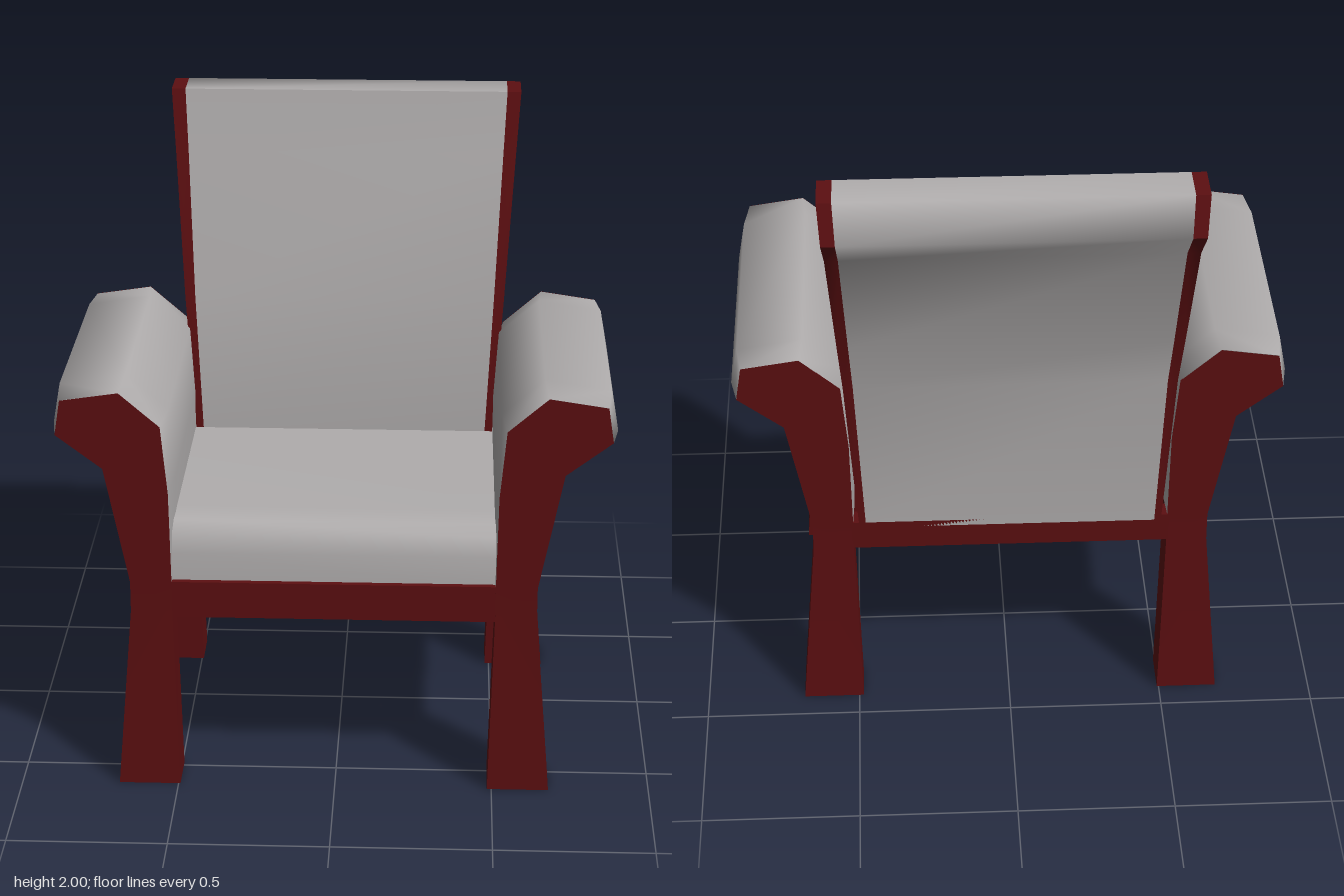
import * as THREE from 'three';
import { toCreasedNormals } from 'three/addons/utils/BufferGeometryUtils.js';

// Skin through matching cross-sections (arrays of [x, y, z]); always faces outward.
function loft(sections, { closed = true, caps = true, crease = 0.5 } = {}) {
  const n = sections[0].length, pts = sections.flat(), index = [];
  const span = closed ? n : n - 1;
  for (let s = 0; s < sections.length - 1; s++) {
    for (let i = 0; i < span; i++) {
      const a = s * n + i, b = s * n + (i + 1) % n;
      index.push(a, b, b + n, a, b + n, a + n);
    }
  }
  if (caps) {
    for (let i = 1; i < n - 1; i++) {
      const e = (sections.length - 1) * n;
      index.push(0, i + 1, i, e, e + i, e + i + 1);
    }
  }
  const v = pts.map(p => new THREE.Vector3(...p));
  const mid = v.reduce((m, p) => m.add(p), new THREE.Vector3()).divideScalar(v.length);
  let volume = 0;
  for (let i = 0; i < index.length; i += 3) {
    const [a, b, c] = [0, 1, 2].map(k => v[index[i + k]].clone().sub(mid));
    volume += a.dot(b.cross(c));
  }
  if (volume < 0) index.reverse();
  const g = new THREE.BufferGeometry();
  g.setAttribute('position', new THREE.Float32BufferAttribute(pts.flat(), 3));
  g.setIndex(index);
  return toCreasedNormals(g, crease);
}

export function createModel() {
  const wood = new THREE.MeshStandardMaterial({ color: 0x5c0f11, side: THREE.DoubleSide });
  wood.name = 'dark red wood';
  const fabric = new THREE.MeshStandardMaterial({ color: 0xb0adad, side: THREE.DoubleSide });
  fabric.name = 'grey fabric';

  const chair = new THREE.Group();
  chair.name = 'armchair';
  const add = (name, geometry, material) => {
    const mesh = new THREE.Mesh(geometry, material);
    mesh.name = name;
    chair.add(mesh);
    return mesh;
  };
  const rail = (name, w, h, d, x, y, z) =>
    add(name, new THREE.BoxGeometry(w, h, d), wood).position.set(x, y, z);

  // Seat rails
  rail('frontRail', 1.02, 0.12, 0.06, 0, 0.64, 0.568);
  rail('backRail', 1.02, 0.1, 0.06, 0, 0.65, -0.36);

  // Seat cushion, rolled at the front and open underneath
  const seat = [[-0.32, 0.875], [0.42, 0.885], [0.52, 0.88], [0.56, 0.85], [0.575, 0.79], [0.58, 0.69]];
  add('seatCushion', loft([-0.51, 0.51].map(x => seat.map(([z, y]) => [x, y, z])),
    { closed: false, caps: false, crease: 1.3 }), fabric);

  // Arm outlines [x, y], from inner foot over the scroll to outer foot
  const armEnd = [[0.505, 0.7], [0.51, 1.0], [0.53, 1.22], [0.655, 1.33], [0.835, 1.303],
    [0.853, 1.19], [0.71, 1.08], [0.635, 0.7]];
  const armFull = [[0.5, 0.7], [0.5, 1.0], [0.515, 1.23], [0.645, 1.343], [0.85, 1.31],
    [0.873, 1.18], [0.71, 1.075], [0.635, 0.7]];
  const armMid = armFull.map(([x, y]) => [x, y - (y > 1.2 ? 0.007 : 0)]);

  // Back profile [z, y], up the front and down the rear
  const back = [[-0.26, 0.68], [-0.26, 0.9], [-0.29, 1.33], [-0.41, 1.8], [-0.45, 2],
    [-0.585, 2], [-0.615, 1.87], [-0.53, 1.77], [-0.44, 1.4], [-0.39, 1.22], [-0.39, 0.68]];
  const outer = y => 0.5 + (y - 0.9) * 0.068;
  const inner = y => outer(y) - 0.02 - (y - 0.6) * 0.018;
  const backRing = (s, edge) => back.map(([z, y]) => [s * edge(y), y, z]);

  // The back outline is concave, so its ends are closed by strips across the profile
  const bandSides = (s) => {
    const ring = backRing(s, outer), strips = [];
    for (let i = 0; i < 5; i++) strips.push([ring[i], ring[10 - i]]);
    return loft(strips, { closed: false, caps: false });
  };
  add('backCushion', loft([backRing(-1, inner), backRing(1, inner)], { caps: false, crease: 1.35 }), fabric);

  for (const s of [1, -1]) {
    const side = s > 0 ? 'left' : 'right';
    rail(side + 'SideRail', 0.06, 0.1, 0.96, s * 0.605, 0.65, 0.1);

    // Padded arm, hollow underneath, with wooden end panels
    add(side + 'Arm', loft([[armEnd, 0.6], [armFull, 0.47], [armMid, -0.28], [armEnd, -0.39]]
      .map(([o, z]) => o.map(([x, y]) => [s * x, y, z])),
    { closed: false, caps: false, crease: 1.35 }), fabric);
    const panel = new THREE.ShapeGeometry(new THREE.Shape(armEnd.map(([x, y]) => new THREE.Vector2(s * x, y))));
    add(side + 'ArmFrontPanel', panel, wood).position.z = 0.601;
    const rear = add(side + 'ArmBackPanel', panel, wood);
    rear.position.set(0, 0, -0.392);
    // Turned about so the panel faces backwards
    rear.rotation.y = Math.PI;
    rear.geometry = new THREE.ShapeGeometry(
      new THREE.Shape(armEnd.map(([x, y]) => new THREE.Vector2(-s * x, y))));

    // Wooden edge of the back
    add(side + 'BackEdge', loft([backRing(s, inner), backRing(s, outer)], { caps: false }), wood);
    add(side + 'BackSide', bandSides(s), wood);

    // Flared legs
    for (const [name, z0, z1, f0, f1] of [['FrontLeg', 0.465, 0.6, 0.478, 0.62], ['BackLeg', -0.39, -0.257, -0.412, -0.272]]) {
      const ring = (y, x0, x1, a, b) => [[s * x0, y, a], [s * x1, y, a], [s * x1, y, b], [s * x0, y, b]];
      add(side + name, loft([ring(0, 0.49, 0.685, f0, f1), ring(0.6, 0.505, 0.635, z0, z1),
        ring(0.7, 0.505, 0.635, z0, z1)]), wood);
    }
  }
  chair.position.x = -0.004;
  const model = new THREE.Group();
  model.name = 'armchairModel';
  model.add(chair);
  return model;
}
